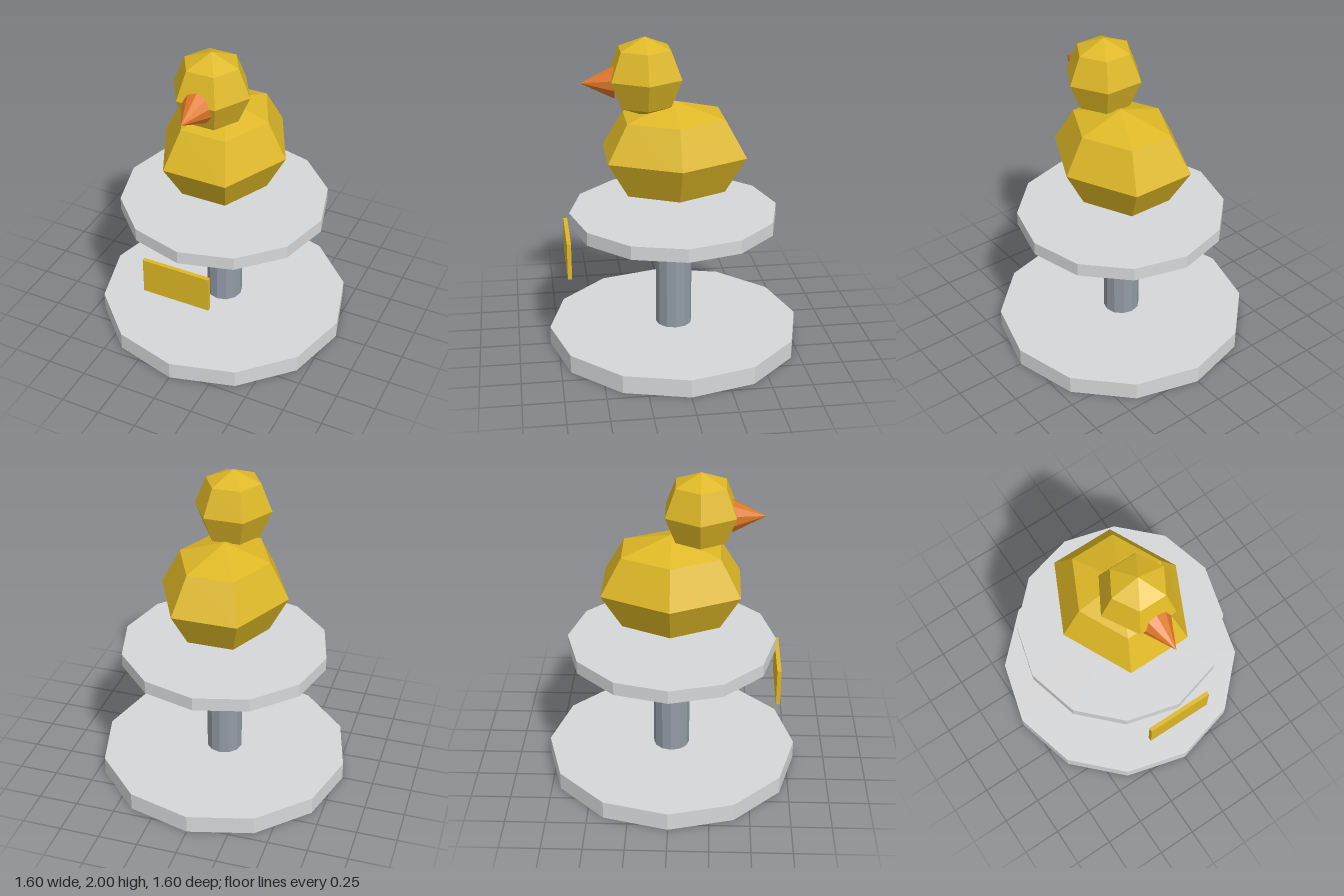
import * as THREE from 'three';

const flat = (name, color) => {
  const m = new THREE.MeshStandardMaterial({ color, flatShading: true });
  m.name = name;
  return m;
};

export function createModel() {
  const group = new THREE.Group();
  const yellow = flat('duck yellow', 0xdeb826);
  const orange = flat('beak orange', 0xde7726);
  const paleGrey = flat('pale grey', 0xd6d7d8);
  const steel = flat('steel grey', 0x929ba5);

  const add = (name, geometry, material, x, y, z) => {
    const mesh = new THREE.Mesh(geometry, material);
    mesh.name = name;
    mesh.position.set(x, y, z);
    group.add(mesh);
    return mesh;
  };

  // Twelve-sided upright cylinder between two heights
  const drum = (name, radius, y0, y1, material) =>
    add(name, new THREE.CylinderGeometry(radius, radius, y1 - y0, 12), material, 0, (y0 + y1) / 2, 0);

  // Stand
  drum('base', 0.8, 0, 0.115, paleGrey);
  drum('column', 0.115, 0.115, 0.81, steel);
  drum('platform', 0.655, 0.81, 0.895, paleGrey);

  // Plaque in front of the column
  add('plaque', new THREE.BoxGeometry(0.436, 0.234, 0.026), yellow, 0, 0.661, 0.672);

  // Duck: low-poly body and head with a pointed beak
  add('body', new THREE.SphereGeometry(1, 6, 4), yellow, 0, 1.273, 0).scale.set(0.406, 0.325, 0.488);
  add('head', new THREE.SphereGeometry(0.245, 6, 4), yellow, 0, 1.755, 0.175);
  add('beak', new THREE.ConeGeometry(0.1, 0.2, 10).rotateX(Math.PI / 2), orange, 0, 1.727, 0.465);

  return group;
}
